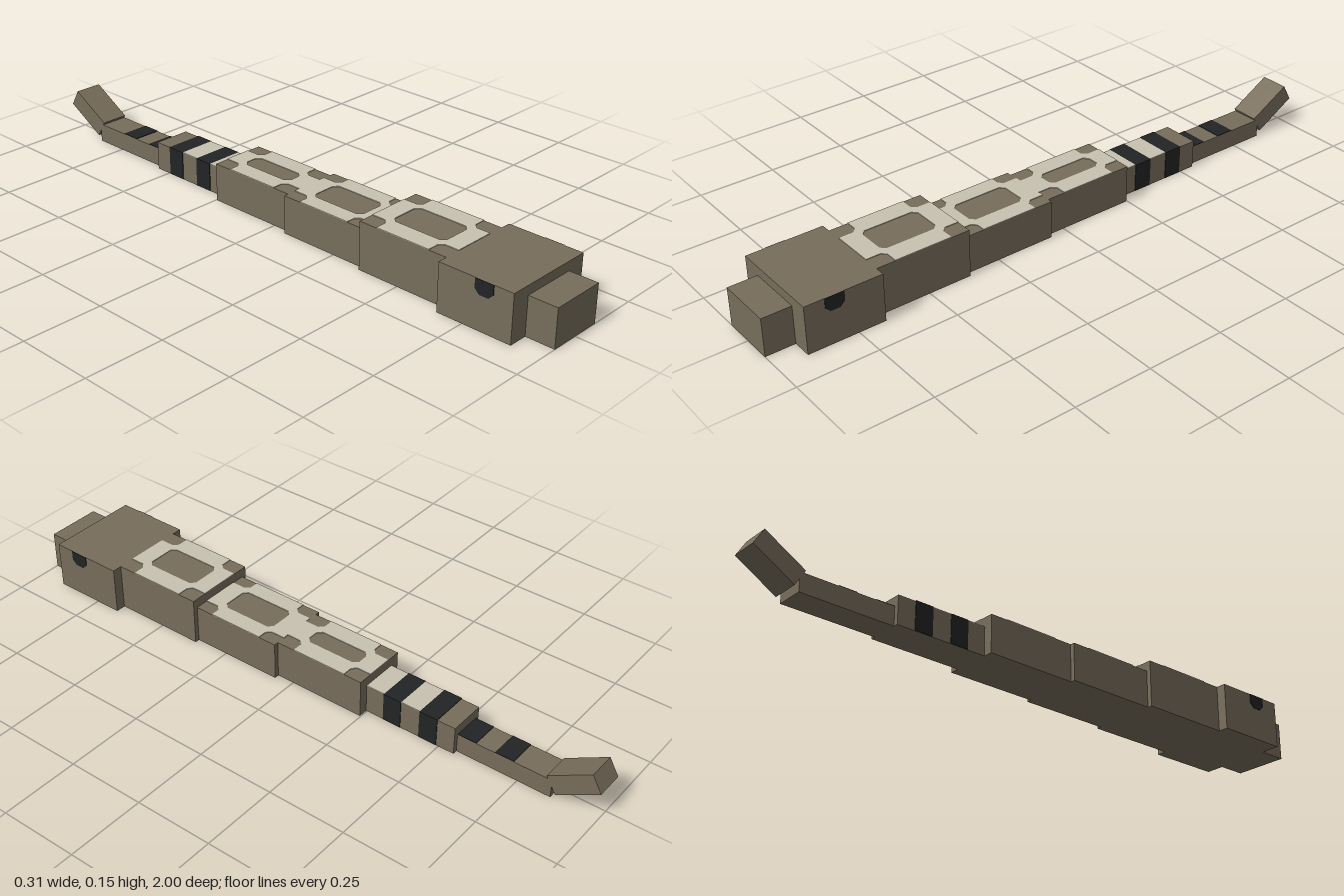
import * as THREE from 'three';

const mat = (name, color) => {
  const m = new THREE.MeshStandardMaterial({ color });
  m.name = name;
  return m;
};

export function createModel() {
  const model = new THREE.Group();
  model.name = 'snake';
  const brown = mat('brown scales', 0x766c5a);
  const cream = mat('cream markings', 0xc8c1b0);
  const black = mat('black markings', 0x222324);
  const T = 0.002; // plate thickness

  const add = (name, geometry, material) => {
    const mesh = new THREE.Mesh(geometry, material);
    mesh.name = name;
    model.add(mesh);
    return mesh;
  };
  // Box standing between two heights and two z values, centred on x = 0
  const block = (name, halfW, y0, y1, z0, z1, material = brown) =>
    add(name, new THREE.BoxGeometry(halfW * 2, y1 - y0, z1 - z0)
      .translate(0, (y0 + y1) / 2, (z0 + z1) / 2), material);

  // Head and body, front to back: name, half width, height, z back, z front
  [
    ['snout', 0.09, 0.122, 0.908, 1.0],
    ['head', 0.152, 0.152, 0.665, 0.908],
    ['neck', 0.12, 0.152, 0.361, 0.665],
    ['frontBody', 0.105, 0.122, 0.057, 0.361],
    ['rearBody', 0.09, 0.122, -0.247, 0.057],
    ['tailBase', 0.06, 0.091, -0.551, -0.247],
    ['tail', 0.045, 0.06, -0.855, -0.551],
  ].forEach(([name, w, h, z0, z1]) => block(name, w, 0, h, z0, z1));

  // Raised tail tip
  const tip = add('tailTip', new THREE.BoxGeometry(0.09, 0.061, 0.152), brown);
  tip.position.set(0, 0.08, -0.919);
  tip.rotation.x = Math.PI / 6;

  // Cream saddle on the back: cut corners and a central opening
  const points = (list) => list.map(([x, z]) => new THREE.Vector2(x, z));
  const saddle = (name, w, top, zc, a) => {
    const L = 0.152, e = 0.092, c = 0.014, n = a + 0.012;
    const corner = [[w, e], [n + c, e], [n, e + c], [n, L]];
    const mirror = (list, sx, sz) => list.map(([x, z]) => [x * sx, z * sz]);
    const shape = new THREE.Shape(points([
      ...corner,
      ...mirror(corner, -1, 1).reverse(),
      ...mirror(corner, -1, -1),
      ...mirror(corner, 1, -1).reverse(),
    ]));
    const q = [[a, e - c], [a - c, e]];
    shape.holes.push(new THREE.Path(points([
      ...q,
      ...mirror(q, -1, 1).reverse(),
      ...mirror(q, -1, -1),
      ...mirror(q, 1, -1).reverse(),
    ])));
    const g = new THREE.ExtrudeGeometry(shape, { depth: T, bevelEnabled: false });
    g.rotateX(Math.PI / 2).translate(0, top + T, zc);
    add(name, g, cream);
  };
  saddle('neckSaddle', 0.12, 0.152, 0.513, 0.056);
  saddle('frontSaddle', 0.105, 0.122, 0.209, 0.05);
  saddle('rearSaddle', 0.09, 0.122, -0.095, 0.031);

  // Tail rings: cream on top only, black over the top and sides
  for (const z of [-0.308, -0.432]) {
    const z0 = z - 0.06;
    block('tailRing', 0.06 + T, 0.001, 0.091 + T, z0, z, black);
  }
  block('creamBand', 0.06, 0.091, 0.091 + T, -0.308, -0.247, cream);
  block('creamBand', 0.06, 0.091, 0.091 + T, -0.432, -0.368, cream);
  for (const z of [-0.552, -0.674]) {
    block('tailBand', 0.045, 0.06, 0.06 + T, z - 0.06, z, black);
  }

  // Eyes: thin plates, rounded below, reaching the top of the head
  const eye = new THREE.Shape(points([
    [-0.03, 0.152], [-0.03, 0.122], [-0.015, 0.107],
    [0.015, 0.107], [0.03, 0.122], [0.03, 0.152],
  ]));
  for (const side of [-1, 1]) {
    const g = new THREE.ExtrudeGeometry(eye, { depth: T, bevelEnabled: false });
    g.rotateY(side * Math.PI / 2).translate(side * 0.152, 0, 0.816);
    add(side > 0 ? 'leftEye' : 'rightEye', g, black);
  }

  return model;
}
